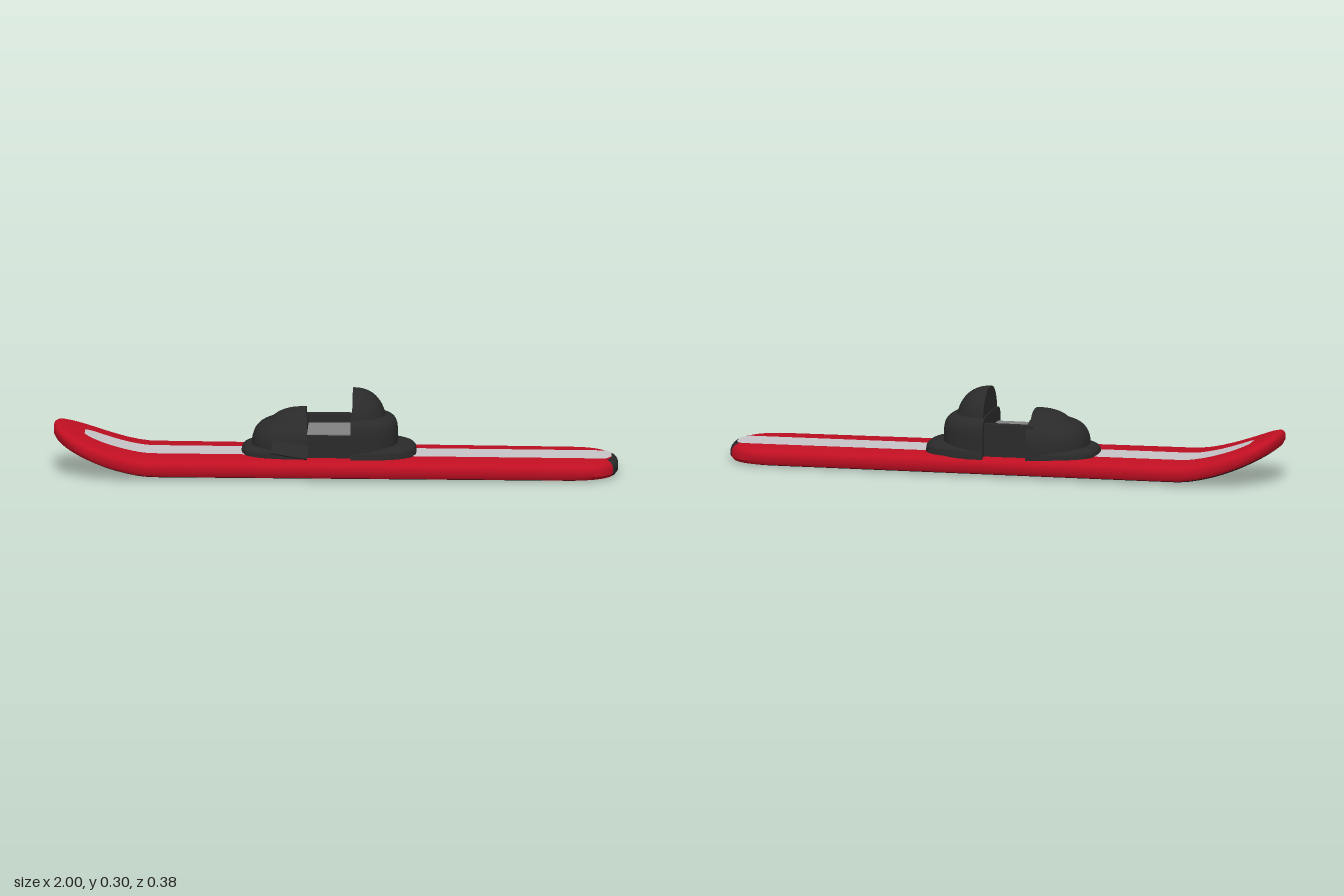
import * as THREE from 'three';
import { toCreasedNormals } from 'three/addons/utils/BufferGeometryUtils.js';

const mat = (name, color, side = THREE.FrontSide) => {
  const m = new THREE.MeshStandardMaterial({ color, side });
  m.name = name;
  return m;
};

// Underside height: almost flat, curling up towards the nose at -x
function underside(x) {
  const t = Math.max(0, (-0.65 - x) / 0.35);
  return 0.006 - 0.006 * x + 0.113 * Math.pow(t, 1.6);
}

// Plan outline as [x, half width], with rounded nose and tail
function outline() {
  const pts = [], n = 16, e = 2 / 2.4;
  const arc = (i) => {
    const a = (i / n) * Math.PI / 2;
    return [Math.pow(Math.sin(a), e), i === n ? 0 : Math.pow(Math.cos(a), e)];
  };
  for (let i = n; i > 0; i--) {
    const [s, c] = arc(i);
    pts.push([-0.8 - 0.2 * s, 0.189 * c]);
  }
  for (let i = 0; i < 40; i++) {
    const k = i / 40;
    pts.push([-0.8 + 1.64 * k, 0.189 - 0.023 * k]);
  }
  for (let i = 0; i <= n; i++) {
    const [s, c] = arc(i);
    pts.push([0.84 + 0.16 * s, 0.166 * c]);
  }
  return pts;
}

// Board body: edge profile [inset, height] swept along the outline
function boardGeometry() {
  const edge = [[0.03, 0], [0.008, 0.006], [0, 0.018], [0, 0.038], [0.003, 0.048], [0.01, 0.057], [0.022, 0.063]];
  const ring = [...edge.map(p => [...p, 1]), ...edge.map(p => [...p, -1]).reverse()];
  const pts = outline(), R = ring.length, pos = [];
  for (const [x, w] of pts)
    for (const [d, h, s] of ring) {
      const px = x * (1 - d);
      pos.push(px, underside(px) + h, s * Math.max(w - d, 0));
    }
  const parts = [[], [], []]; // body, base, tail tip
  for (let i = 0; i < pts.length - 1; i++)
    for (let j = 0; j < R; j++) {
      const k = (j + 1) % R;
      const a = i * R + j, b = a + R, c = (i + 1) * R + k, d = i * R + k;
      const side = Math.min(j, R - 2 - j);
      let part = 0;
      if (j === R - 1 || side <= 0) part = 1;
      else if (j !== edge.length - 1 && pts[i][0] > 0.9 && pts[i][1] < 0.095) part = 2;
      parts[part].push(a, b, c, a, c, d);
    }
  const g = new THREE.BufferGeometry();
  g.setAttribute('position', new THREE.Float32BufferAttribute(pos, 3));
  g.setIndex(parts.flat());
  let start = 0;
  parts.forEach((p, i) => { g.addGroup(start, p.length, i); start += p.length; });
  return toCreasedNormals(g, 0.7);
}

// Centre stripe: thin strip following the deck
function stripeGeometry() {
  const pos = [], idx = [], n = 120;
  for (let i = 0; i <= n; i++) {
    const x = -0.89 + 1.866 * (i / n);
    const nose = Math.min(1, (x + 0.89) / 0.09), tail = Math.min(1, (0.978 - x) / 0.02);
    const w = 0.068 * (0.5 + 0.5 * Math.sqrt(nose * (2 - nose))) * (0.4 + 0.6 * tail);
    const y = underside(x) + 0.0655;
    pos.push(x, y, -0.01 + w, x, y, -0.01 - w);
    if (i < n) idx.push(2 * i, 2 * i + 2, 2 * i + 3, 2 * i, 2 * i + 3, 2 * i + 1);
  }
  const g = new THREE.BufferGeometry();
  g.setAttribute('position', new THREE.Float32BufferAttribute(pos, 3));
  g.setIndex(idx);
  g.computeVertexNormals();
  return g;
}

// Rounded D-shaped dome: flat face at x = 0, flat bottom at y = 0
// eh, ev: squareness in plan and in height (1 round, near 0 boxy)
function halfDome(sx, sy, sz, eh, ev) {
  const g = new THREE.SphereGeometry(1, 48, 32);
  const p = g.attributes.position;
  const pw = (v, e) => Math.sign(v) * Math.pow(Math.abs(v), e);
  for (let i = 0; i < p.count; i++) {
    const y = p.getY(i), r = Math.hypot(p.getX(i), p.getZ(i));
    const cx = r > 1e-5 ? p.getX(i) / r : 0, cz = r > 1e-5 ? p.getZ(i) / r : 0;
    const rad = r > 1e-5 ? Math.pow(r, ev) : 0;
    p.setXYZ(i,
      Math.max(0, pw(cx, eh) * rad) * sx,
      Math.max(0, pw(y, ev)) * sy,
      pw(cz, eh) * rad * sz);
  }
  g.deleteAttribute('normal');
  g.deleteAttribute('uv');
  return toCreasedNormals(g, 0.8);
}

export function createModel() {
  const red = mat('red', 0xc00f22);
  const black = mat('base black', 0x131313);
  const dark = mat('binding charcoal', 0x2a2a2a);
  const light = mat('stripe grey', 0xc6c4c6, THREE.DoubleSide);
  const grey = mat('footbed grey', 0x828282);

  const model = new THREE.Group();
  model.name = 'snowboard';
  const add = (parent, name, geo, material, x = 0, y = 0, z = 0) => {
    const m = new THREE.Mesh(geo, material);
    m.name = name;
    m.position.set(x, y, z);
    parent.add(m);
    return m;
  };

  add(model, 'board', boardGeometry(), [red, black, dark]);
  add(model, 'deckStripe', stripeGeometry(), light);

  const binding = new THREE.Group();
  binding.name = 'binding';
  binding.position.set(0, 0.06, -0.02);
  model.add(binding);

  // Heel side: flange, cup and tall back
  add(binding, 'heelFlange', halfDome(0.23, 0.053, 0.148, 0.7, 0.4), dark, 0.055);
  add(binding, 'heelCup', halfDome(0.165, 0.148, 0.146, 0.72, 0.3), dark, 0.055);
  add(binding, 'highBack', halfDome(0.12, 0.148, 0.117, 0.9, 0.85), dark, 0.06, 0.09);

  // Toe side, turned to face the nose
  const toe = new THREE.Group();
  toe.name = 'toePiece';
  toe.rotation.y = Math.PI;
  binding.add(toe);
  add(toe, 'toeFlange', halfDome(0.235, 0.05, 0.146, 0.7, 0.4), dark, 0.1);
  add(toe, 'toeCup', halfDome(0.2, 0.138, 0.146, 0.75, 0.55), dark, 0.1);
  add(toe, 'toeCap', halfDome(0.16, 0.168, 0.105, 0.85, 0.72), dark, 0.105);

  // Footbed between them, with a low front wall and a higher back wall
  add(binding, 'footbedBlock', new THREE.BoxGeometry(0.2, 0.09, 0.22), dark, -0.02, 0.045, 0.005);
  add(binding, 'footbed', new THREE.BoxGeometry(0.19, 0.006, 0.19), grey, -0.025, 0.092, 0.01);
  add(binding, 'backWall', new THREE.BoxGeometry(0.2, 0.125, 0.03), dark, -0.02, 0.0625, -0.105);

  // Loose strap end on the front of the toe piece
  const strap = add(binding, 'strapEnd', new THREE.BoxGeometry(0.13, 0.05, 0.012), dark, -0.16, 0.045, 0.15);
  strap.rotation.set(-0.5, 0.06, -0.15);

  return model;
}
